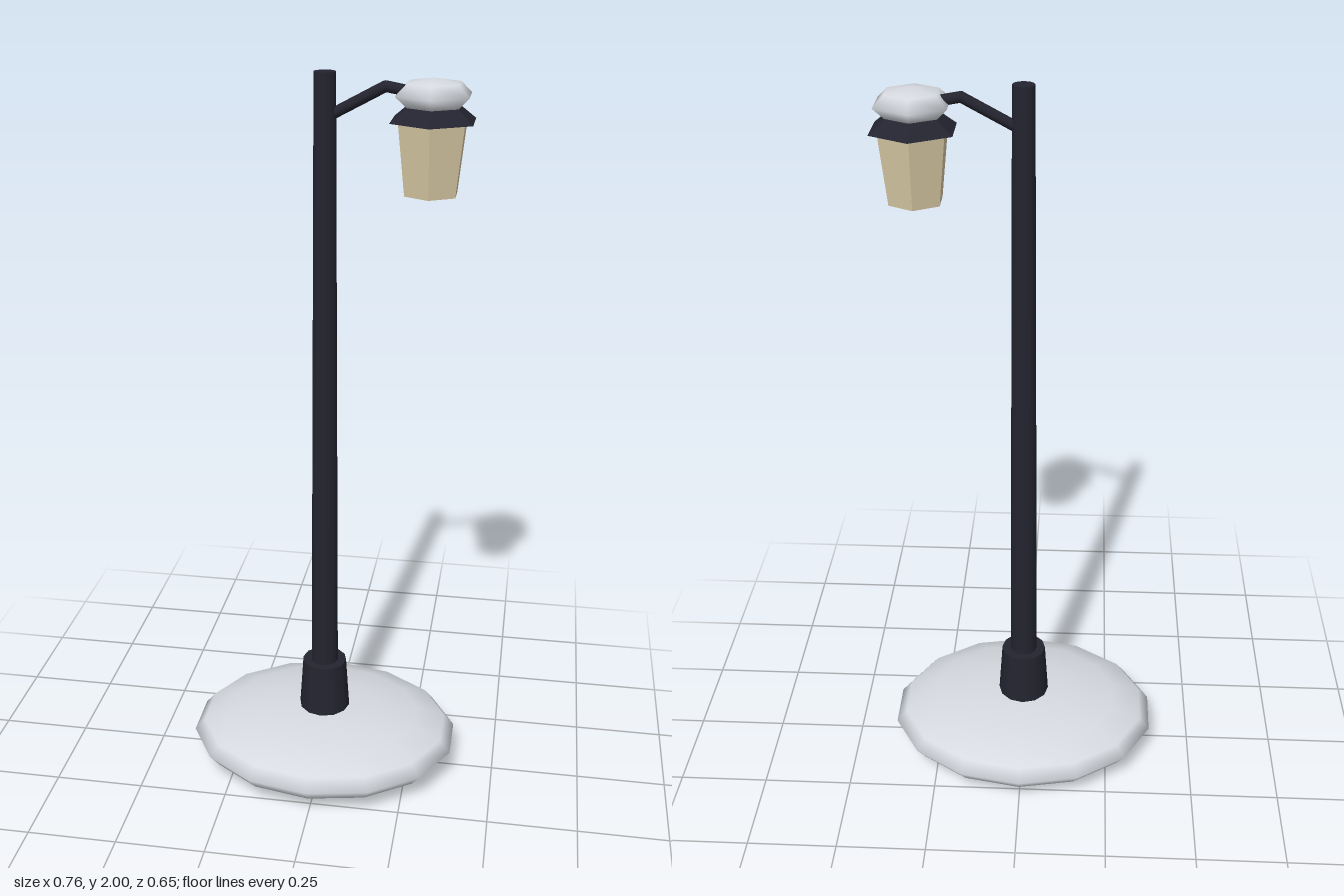
import * as THREE from 'three';

const iron = new THREE.MeshStandardMaterial({ color: 0x23242f });
iron.name = 'dark iron';
const stone = new THREE.MeshStandardMaterial({ color: 0xd6dae0 });
stone.name = 'pale grey';
const glass = new THREE.MeshStandardMaterial({ color: 0xd8c9a4 });
glass.name = 'warm glass';

const LAMP_X = 0.268;

export function createModel() {
  const model = new THREE.Group();
  model.name = 'streetLamp';

  function add(name, geometry, material, parent = model) {
    const mesh = new THREE.Mesh(geometry, material);
    mesh.name = name;
    parent.add(mesh);
    return mesh;
  }

  // Upright tapered cylinder between two heights
  function column(rTop, rBottom, y0, y1, sides) {
    return new THREE.CylinderGeometry(rTop, rBottom, y1 - y0, sides).translate(0, (y0 + y1) / 2, 0);
  }

  // Flattened sphere with corners on the z axis
  function pebble(rx, ry, rz, y, sides, rows) {
    return new THREE.SphereGeometry(1, sides, rows).rotateY(Math.PI / 2).scale(rx, ry, rz).translate(0, y, 0);
  }

  // Faceted version of a geometry
  function faceted(geometry) {
    const flat = geometry.toNonIndexed();
    flat.computeVertexNormals();
    return flat;
  }

  // Oval foot, collar and tapered pole
  add('base', pebble(0.388, 0.091, 0.326, 0.092, 14, 8), stone);
  add('collar', column(0.063, 0.075, 0.15, 0.33, 12), iron);
  add('pole', column(0.028, 0.04, 0.1, 2, 12), iron);

  // Bent arm made of two rods and a round elbow
  const arm = new THREE.Group();
  arm.name = 'arm';
  model.add(arm);
  const path = [[0.01, 1.893], [0.15, 1.968], [0.226, 1.954]].map(([x, y]) => new THREE.Vector3(x, y, 0));
  for (let i = 0; i < 2; i++) {
    const step = path[i + 1].clone().sub(path[i]);
    const rod = add('armRod', new THREE.CylinderGeometry(0.014, 0.014, step.length(), 8), iron, arm);
    rod.position.copy(path[i]).addScaledVector(step, 0.5);
    rod.quaternion.setFromUnitVectors(new THREE.Vector3(0, 1, 0), step.normalize());
  }
  add('armElbow', new THREE.SphereGeometry(0.014, 8, 6), iron, arm).position.copy(path[1]);

  // Six-sided lantern
  const lantern = new THREE.Group();
  lantern.name = 'lantern';
  lantern.position.x = LAMP_X;
  model.add(lantern);
  add('lanternCap', pebble(0.103, 0.04, 0.103, 1.951, 6, 4), stone, lantern);
  add('lanternRoof', faceted(column(0.052, 0.117, 1.888, 1.938, 6)), iron, lantern);
  add('lanternGlass', faceted(column(0.094, 0.073, 1.707, 1.889, 6)), glass, lantern);

  return model;
}
